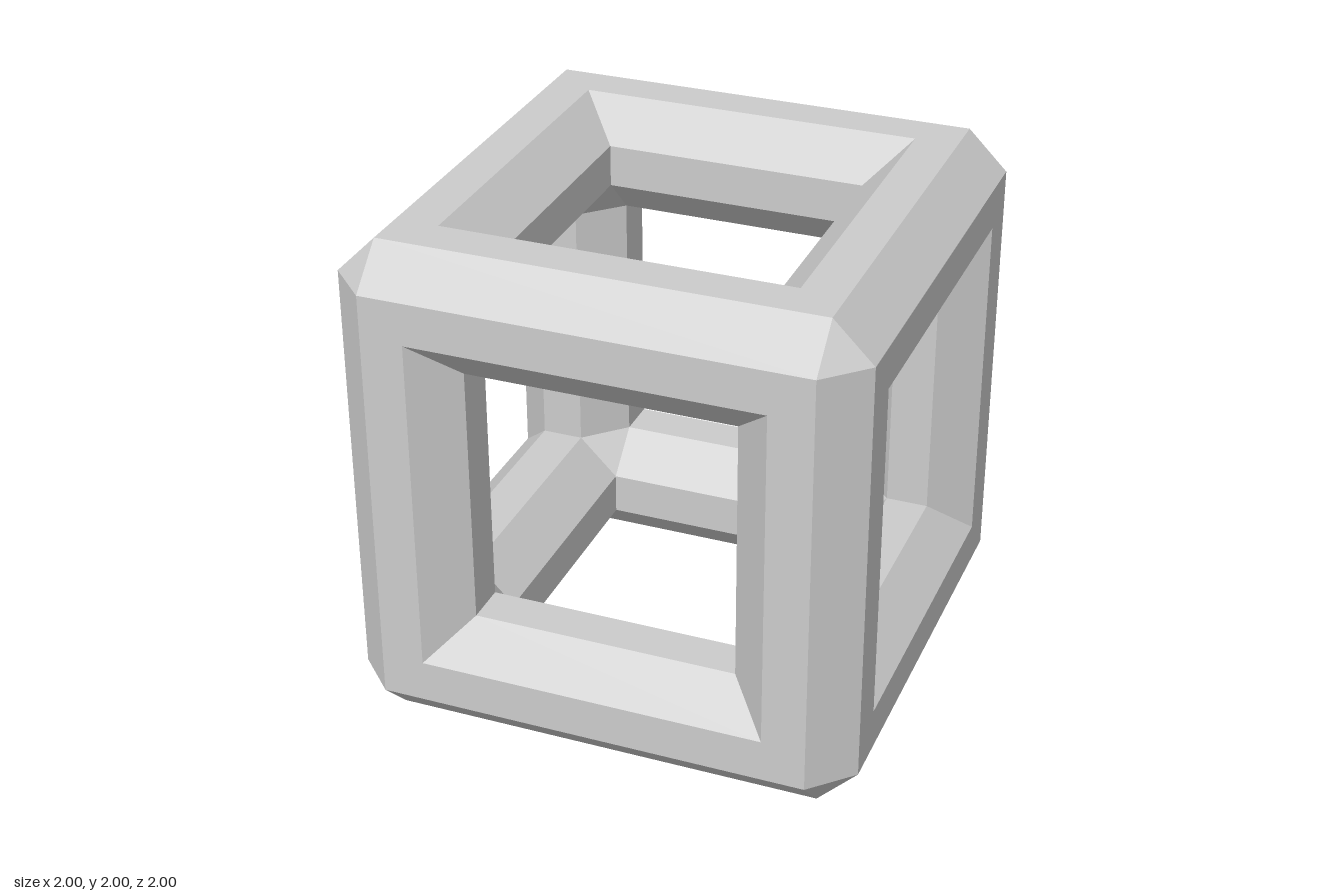
import * as THREE from 'three';

const OUT = 1, CHAMFER = 0.845, HOLE = 0.677, IN = 0.52;

// Octagonal bar section: y, z, and half-length of the bar along that edge (mitred ends)
const SECTION = [
  [OUT, CHAMFER, CHAMFER], [CHAMFER, OUT, CHAMFER], [HOLE, OUT, HOLE], [IN, CHAMFER, IN],
  [IN, HOLE, IN], [HOLE, IN, IN], [CHAMFER, IN, IN], [OUT, HOLE, HOLE],
];

function flatGeometry(points) {
  const geometry = new THREE.BufferGeometry();
  geometry.setAttribute('position', new THREE.Float32BufferAttribute(points, 3));
  geometry.computeVertexNormals();
  return geometry;
}

// One bar along x, in the +y +z position
function barGeometry() {
  const points = [];
  SECTION.forEach(([y0, z0, h0], i) => {
    const [y1, z1, h1] = SECTION[(i + 1) % SECTION.length];
    const a = [-h0, y0, z0], b = [-h1, y1, z1], c = [h1, y1, z1], d = [h0, y0, z0];
    points.push(...a, ...b, ...c, ...a, ...c, ...d);
  });
  return flatGeometry(points);
}

// Outer and inner triangles that close one corner
function cornerGeometry() {
  return flatGeometry([
    OUT, CHAMFER, CHAMFER, CHAMFER, OUT, CHAMFER, CHAMFER, CHAMFER, OUT,
    HOLE, IN, IN, IN, IN, HOLE, IN, HOLE, IN,
  ]);
}

export function createModel() {
  const model = new THREE.Group();
  model.name = 'cubeFrame';
  const material = new THREE.MeshStandardMaterial({ color: 0xcccccc, flatShading: true });
  const bar = barGeometry();
  const corner = cornerGeometry();

  // Four bars along each axis
  const axes = [
    ['widthBars', 0, 0],
    ['depthBars', Math.PI / 2, 0],
    ['uprightBars', 0, Math.PI / 2],
  ];
  for (const [name, ry, rz] of axes) {
    const group = new THREE.Group();
    group.name = name;
    group.position.y = 1;
    group.rotation.set(0, ry, rz);
    for (let k = 0; k < 4; k++) {
      const mesh = new THREE.Mesh(bar, material);
      mesh.name = 'bar';
      mesh.rotation.x = k * Math.PI / 2;
      group.add(mesh);
    }
    model.add(group);
  }

  // Eight corners, four above and four below
  for (const flip of [0, Math.PI]) {
    for (let k = 0; k < 4; k++) {
      const mesh = new THREE.Mesh(corner, material);
      mesh.name = flip ? 'bottomCorner' : 'topCorner';
      mesh.position.y = 1;
      mesh.rotation.set(flip, k * Math.PI / 2, 0);
      model.add(mesh);
    }
  }
  return model;
}
